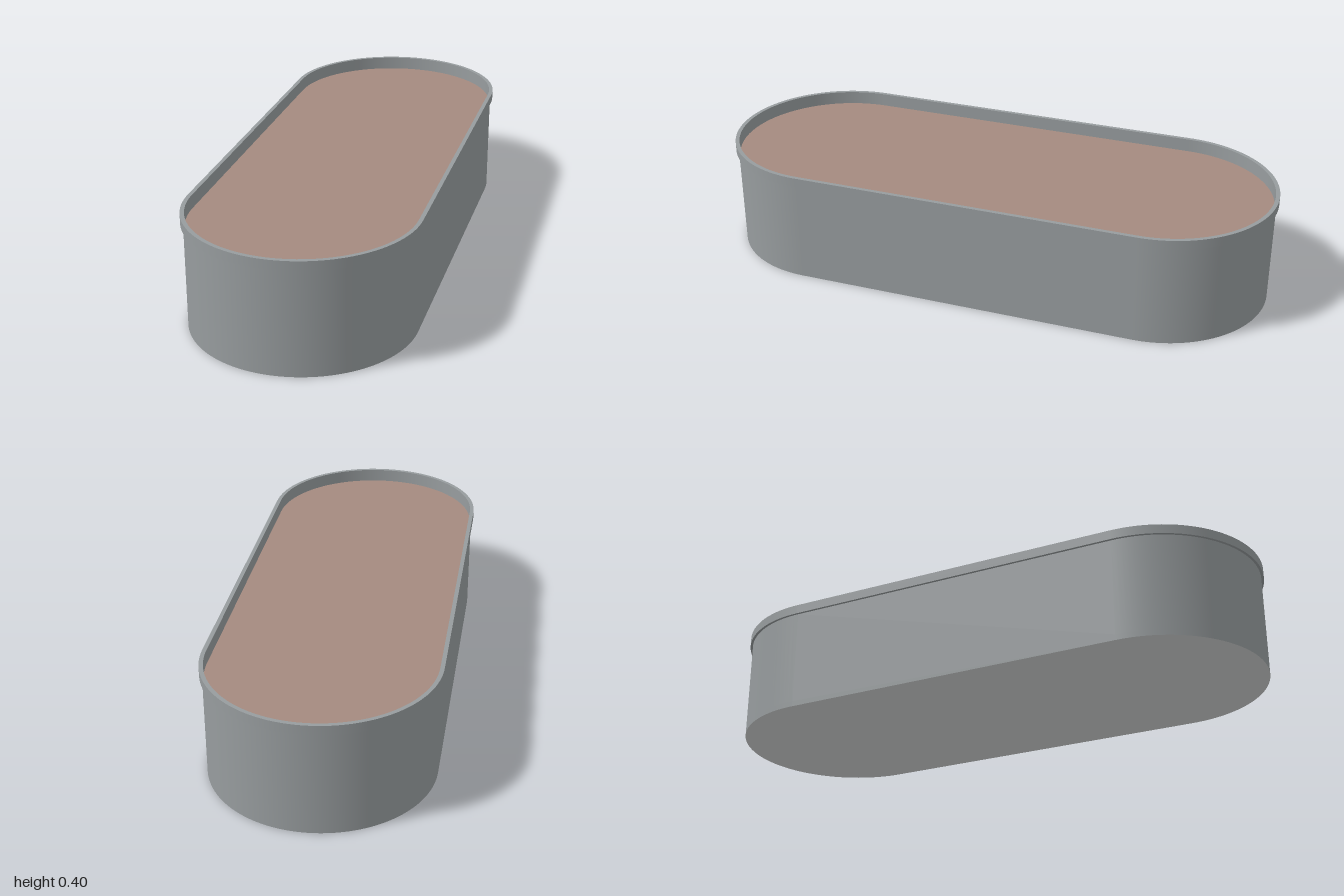
import * as THREE from 'three';

// Stadium outline: straight sides along the long axis, round ends
function stadium(PathType, halfWidth, halfLength) {
  const path = new PathType();
  const c = halfLength - halfWidth;
  path.absarc(0, c, halfWidth, 0, Math.PI, false);
  path.absarc(0, -c, halfWidth, Math.PI, Math.PI * 2, false);
  path.closePath();
  return path;
}

// Upright stadium prism from y0 to y1, optionally hollow with a given wall;
// an array of materials colours [caps, sides]
function prism(name, halfWidth, halfLength, y0, y1, material, wall = 0) {
  const shape = stadium(THREE.Shape, halfWidth, halfLength);
  if (wall) shape.holes.push(stadium(THREE.Path, halfWidth - wall, halfLength - wall));
  const geometry = new THREE.ExtrudeGeometry(shape, {
    depth: y1 - y0, bevelEnabled: false, curveSegments: 32,
  });
  geometry.rotateX(-Math.PI / 2);
  geometry.translate(0, y0, 0);
  smoothWalls(geometry, halfLength - halfWidth);
  const mesh = new THREE.Mesh(geometry, material);
  mesh.name = name;
  return mesh;
}

// Smooth the curved walls: normals point away from the centre line
function smoothWalls(geometry, c) {
  const p = geometry.attributes.position, n = geometry.attributes.normal;
  const v = new THREE.Vector3(), old = new THREE.Vector3();
  for (let i = 0; i < p.count; i++) {
    old.fromBufferAttribute(n, i);
    if (Math.abs(old.y) > 0.5) continue;
    v.fromBufferAttribute(p, i);
    v.set(v.x, 0, v.z - THREE.MathUtils.clamp(v.z, -c, c)).normalize();
    if (v.dot(old) < 0) v.negate();
    n.setXYZ(i, v.x, v.y, v.z);
  }
}

export function createModel() {
  const metal = new THREE.MeshStandardMaterial({ name: 'grey metal', color: 0x979c9e });
  const pale = new THREE.MeshStandardMaterial({ name: 'pale underside', color: 0xd0d2d2 });
  const soil = new THREE.MeshStandardMaterial({ name: 'brown soil', color: 0xa48a7f });

  const group = new THREE.Group();
  group.name = 'planter';
  group.add(
    prism('base', 0.382, 0.991, 0, 0.02, [pale, metal]),
    prism('wall', 0.382, 0.991, 0.02, 0.364, metal, 0.005),
    prism('rim', 0.391, 1, 0.364, 0.397, metal, 0.014),
    prism('soil', 0.377, 0.986, 0.02, 0.35, soil),
  );
  return group;
}
